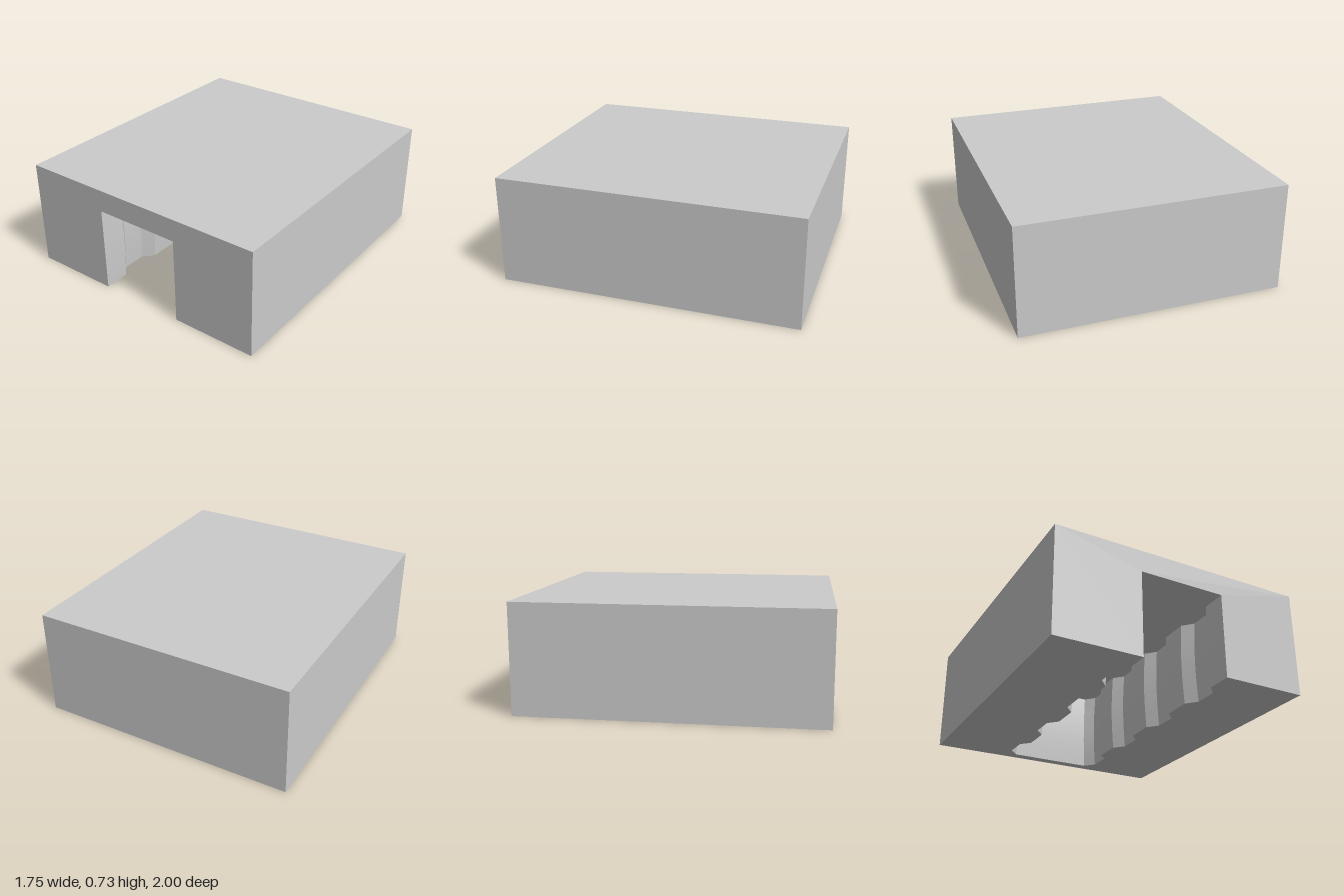
import * as THREE from 'three';
import { toCreasedNormals } from 'three/addons/utils/BufferGeometryUtils.js';

const W = 0.875, D = 1, H = 0.73;             // block half width, half depth, height
const BAY = 0.295, SHIFT = 0.005, BAY_H = 0.58, BACK = -0.93;
const FLUTE = 0.062, BULGE = 0.012, ROWS = 8;

// one corrugated side of the bay, front to back: [half width, z]
function sideProfile() {
  const pts = [[BAY, D]];
  for (let k = 0; k < 4; k++) {
    const z = D - 0.17 - k * 0.488;
    pts.push([BAY, z], [BAY + FLUTE, z - 0.066], [BAY + FLUTE, z - 0.226]);
    pts.push([BAY, k === 3 ? BACK : z - 0.296]);
  }
  return pts;
}

// bay outline: right wall to the back, then left wall to the front
function bayOutline() {
  const side = sideProfile();
  return [
    ...side.map(([x, z]) => new THREE.Vector2(SHIFT - x, z)),
    ...side.map(([x, z]) => new THREE.Vector2(SHIFT + x, z)).reverse(),
  ];
}

// walls of the bay, bowed slightly inwards at mid height
function bayWalls(outline) {
  const pos = [], index = [], n = outline.length;
  for (let j = 0; j <= ROWS; j++) {
    const bow = BULGE * Math.sin(Math.PI * j / ROWS);
    for (const p of outline) {
      const b = p.y === D ? 0 : bow;
      pos.push(p.x - Math.sign(p.x) * b, BAY_H * j / ROWS, p.y === BACK ? p.y + b : p.y);
    }
  }
  for (let j = 0; j < ROWS; j++) {
    for (let i = 0; i < n - 1; i++) {
      const a = j * n + i, c = a + n;
      index.push(a, a + 1, c + 1, a, c + 1, c);
    }
  }
  const g = new THREE.BufferGeometry();
  g.setAttribute('position', new THREE.Float32BufferAttribute(pos, 3));
  g.setIndex(index);
  return toCreasedNormals(g, Math.PI / 7);
}

export function createModel() {
  const group = new THREE.Group();
  const material = new THREE.MeshStandardMaterial({ color: 0xcccccc, side: THREE.DoubleSide });
  const add = (name, geometry) => {
    const mesh = new THREE.Mesh(geometry, material);
    mesh.name = name;
    group.add(mesh);
  };
  const v = (x, y) => new THREE.Vector2(x, y);
  const outline = bayOutline();

  // plain outer faces
  add('roof', new THREE.PlaneGeometry(2 * W, 2 * D).rotateX(-Math.PI / 2).translate(0, H, 0));
  add('backFace', new THREE.PlaneGeometry(2 * W, H).rotateY(Math.PI).translate(0, H / 2, -D));
  for (const s of [-1, 1]) {
    add(s > 0 ? 'leftFace' : 'rightFace',
      new THREE.PlaneGeometry(2 * D, H).rotateY(s * Math.PI / 2).translate(s * W, H / 2, 0));
  }

  // front face with the doorway
  const l = SHIFT - BAY, r = SHIFT + BAY;
  const front = new THREE.Shape([
    v(-W, 0), v(l, 0), v(l, BAY_H), v(r, BAY_H), v(r, 0), v(W, 0), v(W, H), v(-W, H),
  ]);
  add('frontFace', new THREE.ShapeGeometry(front).translate(0, 0, D));

  // underside around the bay, and the bay itself
  const base = new THREE.Shape([v(-W, D), v(-W, -D), v(W, -D), v(W, D), ...outline.slice().reverse()]);
  add('underside', new THREE.ShapeGeometry(base).rotateX(Math.PI / 2));
  add('bayCeiling', new THREE.ShapeGeometry(new THREE.Shape(outline)).rotateX(Math.PI / 2).translate(0, BAY_H, 0));
  add('bayWalls', bayWalls(outline));
  return group;
}
